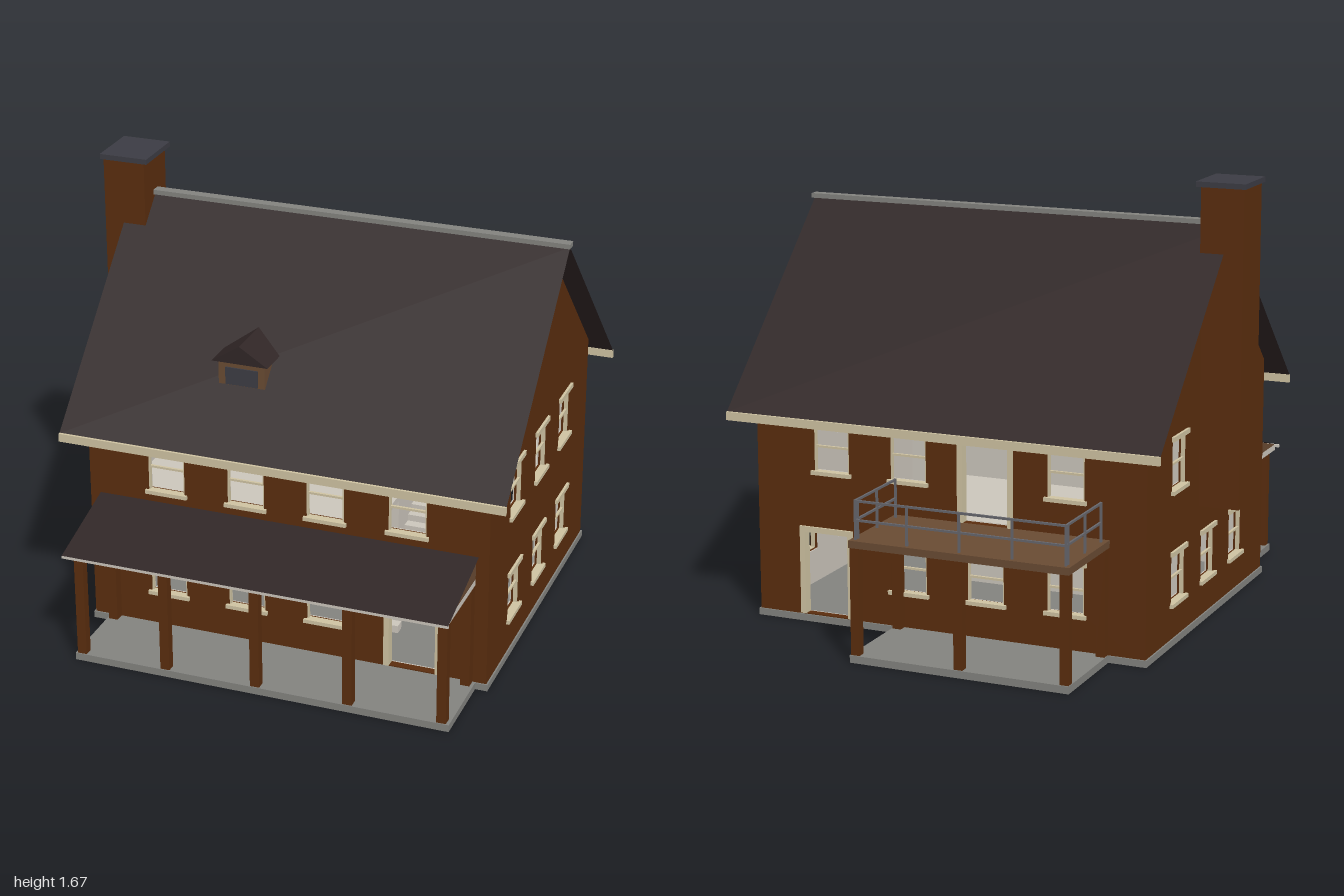
import * as THREE from 'three';

const mat = (name, color, side = THREE.FrontSide) => {
  const m = new THREE.MeshStandardMaterial({ color, side });
  m.name = name;
  return m;
};

export function createModel() {
  const brick = mat('brick', 0x5a2d0e);
  const shingle = mat('shingle', 0x302626, THREE.DoubleSide);
  const cream = mat('cream trim', 0xcfc3a2);
  const plaster = mat('plaster', 0xccc6bc);
  const concrete = mat('concrete', 0x83837f);
  const wood = mat('wood', 0x694b33);
  const slate = mat('slate', 0x3c3c44);
  const metal = mat('metal', 0x66666c);

  const model = new THREE.Group();
  model.name = 'house';

  const add = (geo, material, name, parent = model) => {
    const mesh = new THREE.Mesh(geo, material);
    mesh.name = name;
    parent.add(mesh);
    return mesh;
  };
  // Box given by its limits on each axis
  const box = (name, material, x0, x1, y0, y1, z0, z1, parent = model) => {
    const mesh = add(new THREE.BoxGeometry(x1 - x0, y1 - y0, z1 - z0), material, name, parent);
    mesh.position.set((x0 + x1) / 2, (y0 + y1) / 2, (z0 + z1) / 2);
    return mesh;
  };
  // Thin sheet following a [z, y] profile from x0 to x1
  const sheet = (name, material, profile, x0, x1) => {
    const p = [];
    for (let i = 0; i + 1 < profile.length; i++) {
      const [za, ya] = profile[i], [zb, yb] = profile[i + 1];
      p.push(x0, ya, za, x1, ya, za, x1, yb, zb, x0, ya, za, x1, yb, zb, x0, yb, zb);
    }
    const g = new THREE.BufferGeometry();
    g.setAttribute('position', new THREE.Float32BufferAttribute(p, 3));
    g.computeVertexNormals();
    return add(g, material, name);
  };
  // Solid with a [z, y] outline from x0 to x1
  const prism = (name, material, outline, x0, x1) => {
    const shape = new THREE.Shape(outline.map(([z, y]) => new THREE.Vector2(z, y)));
    const mesh = add(new THREE.ExtrudeGeometry(shape, { depth: x1 - x0, bevelEnabled: false }), material, name);
    mesh.rotation.y = -Math.PI / 2;
    mesh.position.x = x1;
    return mesh;
  };

  // Wall panel with openings, built facing +z with its outside at z = 0
  const panel = (outline, openings, depth) => {
    const shape = new THREE.Shape(outline.map(([u, v]) => new THREE.Vector2(u, v)));
    for (const { u, w, y0, y1 } of openings) {
      const hole = new THREE.Path();
      hole.moveTo(u - w / 2, y0);
      hole.lineTo(u - w / 2, y1);
      hole.lineTo(u + w / 2, y1);
      hole.lineTo(u + w / 2, y0);
      hole.closePath();
      shape.holes.push(hole);
    }
    return new THREE.ExtrudeGeometry(shape, { depth, bevelEnabled: false });
  };
  const lower = u => ({ u, w: 0.145, y0: 0.16, y1: 0.345 });
  const upper = u => ({ u, w: 0.145, y0: 0.585, y1: 0.775 });
  const door = (u, y0, y1) => ({ u, w: 0.19, y0, y1, door: true });

  const wall = (name, outline, openings) => {
    const g = new THREE.Group();
    g.name = name;
    model.add(g);
    add(panel(outline, openings, 0.03), brick, name + ' brick', g).position.z = -0.03;
    const a = outline[0][0] + 0.03, b = outline[1][0] - 0.03;
    const inner = [[a, 0.02], [b, 0.02], [b, 0.86], [a, 0.86]];
    add(panel(inner, openings, 0.005), plaster, name + ' lining', g).position.z = -0.035;
    for (const o of openings) {
      const l = o.u - o.w / 2, r = o.u + o.w / 2;
      if (o.door) {
        box('door jamb', cream, l - 0.015, l + 0.006, o.y0, o.y1, -0.03, 0.008, g);
        box('door jamb', cream, r - 0.006, r + 0.015, o.y0, o.y1, -0.03, 0.008, g);
        box('door head', cream, l - 0.015, r + 0.015, o.y1 - 0.006, o.y1 + 0.015, -0.03, 0.008, g);
        continue;
      }
      const mid = (o.y0 + o.y1) / 2;
      box('window lintel', cream, l - 0.01, r + 0.01, o.y1 - 0.003, o.y1 + 0.015, -0.02, 0.01, g);
      box('window sill', cream, l - 0.01, r + 0.01, o.y0 - 0.012, o.y0 + 0.003, -0.02, 0.012, g);
      box('window side', cream, l, l + 0.006, o.y0, o.y1, -0.02, -0.005, g);
      box('window side', cream, r - 0.006, r, o.y0, o.y1, -0.02, -0.005, g);
      box('window rail', cream, l, r, mid - 0.004, mid + 0.004, -0.018, -0.008, g);
    }
    return g;
  };

  // Four walls
  const rect = (a, b) => [[a, 0.002], [b, 0.002], [b, 0.872], [a, 0.872]];
  const cols = [-0.43, -0.115, 0.195];
  const front = wall('front wall', rect(-0.74, 0.82),
    [...cols.map(lower), ...cols.map(upper), upper(0.51), door(0.535, 0.03, 0.355)]);
  front.position.z = 0.65;

  const back = wall('back wall', rect(-0.82, 0.74),
    [...cols.map(x => lower(-x)), upper(0.43), upper(-0.195), upper(-0.51),
      door(0.115, 0.455, 0.775), door(-0.535, 0.03, 0.355)]);
  back.rotation.y = Math.PI;
  back.position.z = -0.625;

  const gable = (a, b, peak) => [[a, 0.002], [b, 0.002], [b, 0.872], [peak, 1.498], [a, 0.872]];
  const sides = [0.33, 0.015, -0.3];
  const right = wall('left side wall', gable(-0.65, 0.625, -0.01),
    [...sides.map(z => lower(-z)), ...sides.map(z => upper(-z))]);
  right.rotation.y = Math.PI / 2;
  right.position.x = 0.82;

  const left = wall('right side wall', gable(-0.625, 0.65, 0.01),
    [...sides.map(lower), upper(0.33), upper(-0.3)]);
  left.rotation.y = -Math.PI / 2;
  left.position.x = -0.74;

  // Base, floors and interior
  box('ground floor', concrete, -0.71, 0.79, 0, 0.028, -0.595, 0.62);
  box('front skirting', concrete, -0.746, 0.826, 0, 0.026, 0.65, 0.656);
  box('back skirting', concrete, -0.746, 0.826, 0, 0.026, -0.631, -0.625);
  box('side skirting', concrete, 0.82, 0.826, 0, 0.026, -0.625, 0.65);
  box('side skirting', concrete, -0.746, -0.74, 0, 0.026, -0.625, 0.65);
  box('upper floor', plaster, -0.7, 0.3, 0.43, 0.455, -0.585, 0.61);
  box('landing', plaster, 0.3, 0.78, 0.43, 0.455, -0.585, -0.2);
  box('ceiling', plaster, -0.7, 0.78, 0.845, 0.858, -0.585, 0.61);
  box('partition', plaster, -0.7, 0.3, 0.028, 0.845, 0, 0.02);
  box('partition end', plaster, 0.285, 0.3, 0.028, 0.845, -0.1, 0.13);
  for (let i = 0; i < 16; i++) {
    const z = 0.42 - i * 0.04, y = 0.03 + i * 0.026;
    box('stair step', plaster, 0.3, 0.4, y, y + 0.03, z - 0.04, z);
  }
  const rail = box('stair rail', wood, 0.395, 0.403, -0.004, 0.004, -0.09, 0.09);
  rail.position.set(0.4, 0.25, 0.335);
  rail.rotation.x = 0.655;

  // Main roof
  sheet('main roof', shingle, [[0.73, 0.8], [0.01, 1.505], [-0.71, 0.8]], -0.82, 0.9);
  box('front fascia', cream, -0.82, 0.9, 0.77, 0.802, 0.726, 0.738);
  box('back fascia', cream, -0.82, 0.9, 0.77, 0.802, -0.718, -0.706);
  box('ridge cap', concrete, -0.82, 0.905, 1.505, 1.523, -0.01, 0.03);

  // Chimney
  box('chimney', brick, -0.895, -0.73, 0.46, 1.655, -0.085, 0.11);
  box('chimney cap', slate, -0.905, -0.715, 1.655, 1.675, -0.1, 0.12);

  // Dormer
  box('dormer body', wood, -0.265, -0.085, 1.005, 1.1, 0.4, 0.525);
  box('dormer window', slate, -0.237, -0.11, 1.008, 1.075, 0.522, 0.53);
  const dormer = new THREE.Shape([[-0.285, 1.1], [-0.065, 1.1], [-0.175, 1.17]].map(p => new THREE.Vector2(...p)));
  add(new THREE.ExtrudeGeometry(dormer, { depth: 0.21, bevelEnabled: false }), shingle, 'dormer roof').position.z = 0.335;

  // Front porch
  box('porch slab', concrete, -0.675, 0.78, 0, 0.028, 0.655, 0.967);
  for (const x of [-0.65, -0.316, 0.038, 0.395, 0.75])
    box('porch post', brick, x - 0.018, x + 0.018, 0.028, 0.43, 0.929, 0.963);
  for (const x of [-0.65, 0.75])
    box('porch wall post', brick, x - 0.018, x + 0.018, 0.028, 0.43, 0.65, 0.69);
  box('porch ceiling', plaster, -0.69, 0.77, 0.428, 0.452, 0.65, 0.965);
  prism('porch gable', wood, [[0.96, 0.452], [0.65, 0.452], [0.65, 0.537]], -0.69, 0.77);
  sheet('porch roof', shingle, [[0.995, 0.445], [0.65, 0.541]], -0.7, 0.78);
  box('porch gutter', plaster, -0.7, 0.78, 0.434, 0.445, 0.985, 0.995);

  // Back balcony
  box('patio slab', concrete, -0.6, 0.25, 0, 0.028, -1, -0.631);
  box('balcony deck', wood, -0.6, 0.25, 0.428, 0.455, -1, -0.625);
  for (const x of [-0.58, -0.175, 0.23])
    box('balcony post', brick, x - 0.017, x + 0.017, 0.028, 0.428, -0.995, -0.963);
  for (const x of [-0.58, 0.23])
    box('balcony wall post', brick, x - 0.017, x + 0.017, 0.028, 0.428, -0.662, -0.628);
  const t = 0.004;
  for (const y of [0.527, 0.598]) {
    box('back rail', metal, -0.584, 0.234, y - t, y + t, -0.984, -0.976);
    for (const x of [-0.58, 0.23]) box('side rail', metal, x - t, x + t, y - t, y + t, -0.98, -0.656);
  }
  for (let i = 0; i < 5; i++) {
    const x = -0.58 + i * 0.2025;
    box('rail post', metal, x - t, x + t, 0.455, 0.6, -0.984, -0.976);
  }
  for (const x of [-0.58, 0.23])
    for (const z of [-0.66, -0.81, -0.962])
      box('rail post', metal, x - t, x + t, 0.455, 0.6, z - t, z + t);

  return model;
}
